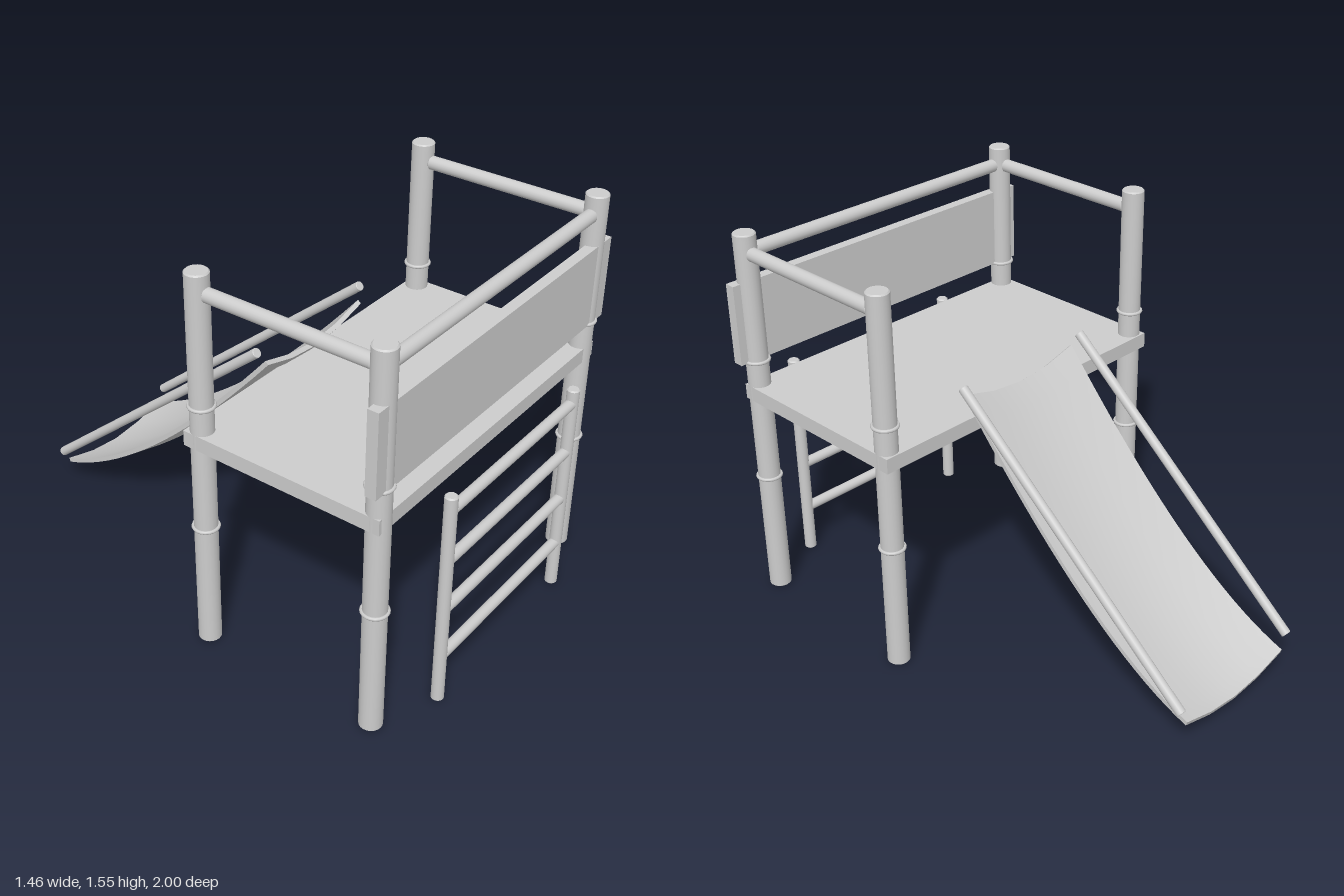
import * as THREE from 'three';

const grey = new THREE.MeshStandardMaterial({ color: 0xcccccc });
grey.name = 'light grey';

const V = (x, y, z) => new THREE.Vector3(x, y, z);

export function createModel() {
  const group = new THREE.Group();

  const add = (name, geometry) => {
    const mesh = new THREE.Mesh(geometry, grey);
    mesh.name = name;
    group.add(mesh);
    return mesh;
  };

  const box = (name, w, h, d, x, y, z) =>
    add(name, new THREE.BoxGeometry(w, h, d)).position.set(x, y, z);

  // Round bar between two points, with small bevelled ends
  const bar = (name, a, b, r, bevel = 0.005) => {
    const len = a.distanceTo(b);
    const profile = [[0, 0], [r - bevel, 0], [r - bevel, 0], [r, bevel], [r, bevel],
      [r, len - bevel], [r, len - bevel], [r - bevel, len], [r - bevel, len], [0, len]]
      .map(p => new THREE.Vector2(...p));
    const mesh = add(name, new THREE.LatheGeometry(profile, 20));
    mesh.position.copy(a);
    mesh.quaternion.setFromUnitVectors(V(0, 1, 0), b.clone().sub(a).normalize());
  };

  const postX = 0.655, frontZ = 0.861, backZ = 0.123;

  // Corner posts with two joint rings each
  for (const x of [-postX, postX]) {
    for (const z of [frontZ, backZ]) {
      bar('post', V(x, 0, z), V(x, 1.552, z), 0.044);
      for (const y of [0.52, 1.035]) {
        const ring = add('postRing', new THREE.TorusGeometry(0.046, 0.007, 8, 20));
        ring.rotation.x = Math.PI / 2;
        ring.position.set(x, y, z);
      }
    }
    bar('sideRail', V(x, 1.475, backZ + 0.036), V(x, 1.475, frontZ - 0.036), 0.027);
  }
  bar('frontRail', V(-0.62, 1.475, frontZ), V(0.62, 1.475, frontZ), 0.027);

  // Platform and front panel
  box('deck', 1.396, 0.06, 0.82, 0, 0.902, 0.483);
  box('frontPanel', 1.462, 0.325, 0.043, 0, 1.196, 0.877);

  // Ladder
  for (const x of [-0.406, 0.406]) bar('ladderPole', V(x, 0, 0.976), V(x, 0.9, 0.976), 0.024);
  for (const y of [0.2, 0.412, 0.625, 0.838])
    bar('ladderRung', V(-0.4, y, 0.976), V(0.4, y, 0.976), 0.021);

  // Slide: shallow trough swept along a curve, thickness closed all round
  const path = new THREE.QuadraticBezierCurve3(V(0, 0.967, 0.1), V(0, 0.21, -0.54), V(0, 0.064, -0.99));
  const section = [[-0.283, 0.052], [-0.142, 0.014], [0, 0], [0.142, 0.014], [0.283, 0.052]];
  const steps = 20, n = section.length;
  const strip = (name, rows, flip) => {
    const w = rows[0].length, index = [];
    for (let i = 0; i < rows.length - 1; i++) {
      for (let j = 0; j < w - 1; j++) {
        const a = i * w + j, b = a + 1, c = a + w, d = c + 1;
        index.push(...(flip ? [a, c, b, b, c, d] : [a, b, c, b, d, c]));
      }
    }
    const g = new THREE.BufferGeometry().setFromPoints(rows.flat());
    g.setIndex(index);
    g.computeVertexNormals();
    add(name, g);
  };
  const topRows = [], bottomRows = [];
  for (let i = 0; i <= steps; i++) {
    const p = path.getPoint(i / steps), t = path.getTangent(i / steps);
    const drop = V(0, t.z, -t.y).multiplyScalar(0.018);
    topRows.push(section.map(([x, y]) => V(x, p.y + y, p.z)));
    bottomRows.push(section.map(([x, y]) => V(x, p.y + y, p.z).add(drop)));
  }
  strip('slideBed', topRows, false);
  strip('slideUnderside', bottomRows, true);
  strip('slideEdgeRight', topRows.map((r, i) => [bottomRows[i][0], r[0]]), false);
  strip('slideEdgeLeft', topRows.map((r, i) => [r[n - 1], bottomRows[i][n - 1]]), false);
  strip('slideTopEnd', [bottomRows[0], topRows[0]], false);
  strip('slideBottomEnd', [topRows[steps], bottomRows[steps]], false);

  // Slide handrails
  for (const x of [-0.312, 0.312]) bar('slideHandrail', V(x, 1.063, 0.087), V(x, 0.17, -0.985), 0.019, 0.002);

  return group;
}
